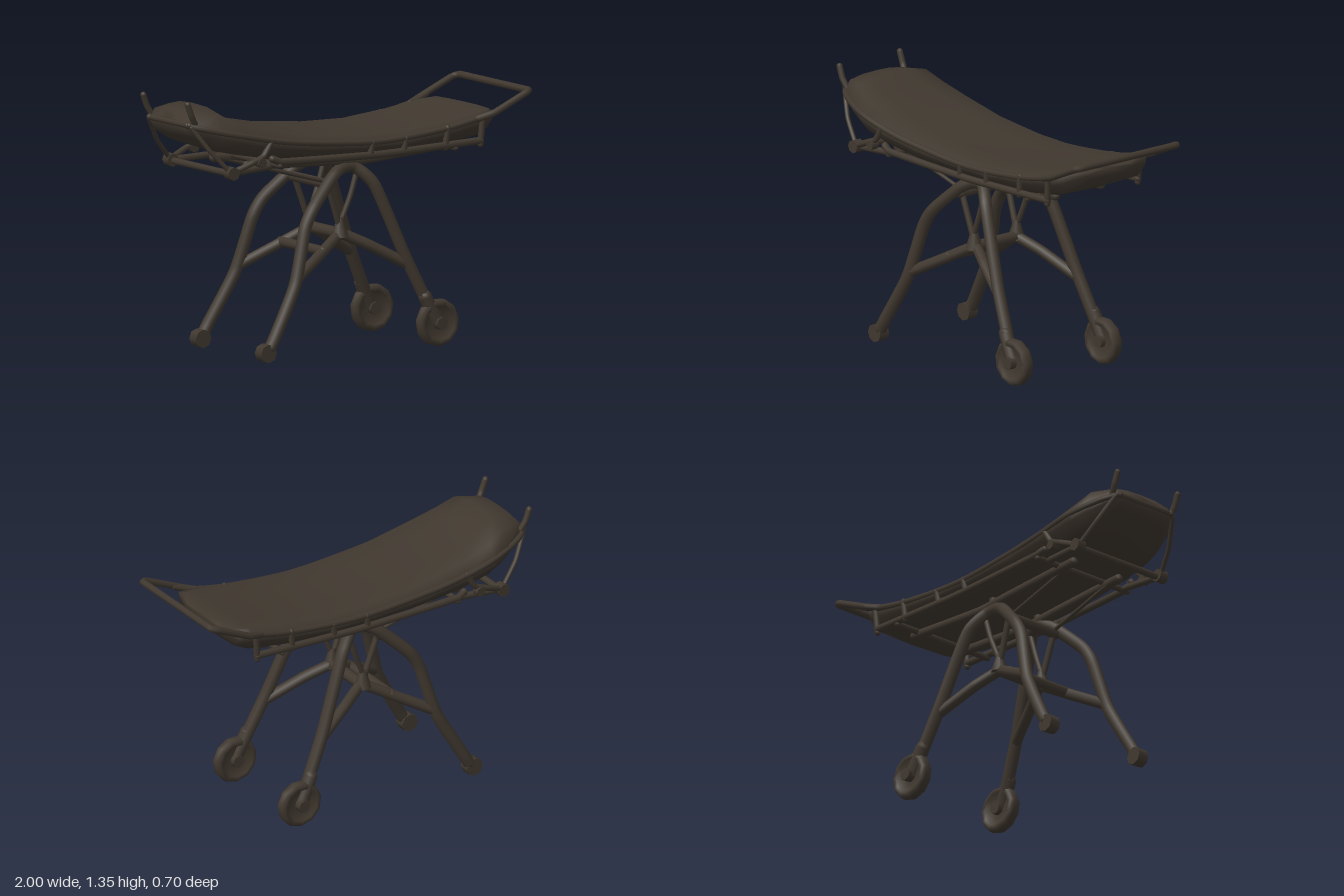
import * as THREE from 'three';

const frameBrown = new THREE.MeshStandardMaterial({ color: 0x40382f, side: THREE.DoubleSide });
const V = (p) => new THREE.Vector3(...p);

export function createModel() {
  const model = new THREE.Group();
  model.name = 'wheeledStretcher';

  const add = (name, geometry, pos = [0, 0, 0]) => {
    const mesh = new THREE.Mesh(geometry, frameBrown);
    mesh.name = name;
    mesh.position.set(...pos);
    model.add(mesh);
    return mesh;
  };

  // Straight or bent pipe with rounded ends
  const pipe = (name, points, r, tension = 0.25) => {
    const pts = points.map(V);
    const curve = pts.length === 2 ? new THREE.LineCurve3(...pts)
      : new THREE.CatmullRomCurve3(pts, false, 'catmullrom', tension);
    add(name, new THREE.TubeGeometry(curve, pts.length > 2 ? pts.length * 6 : 1, r, 8));
    for (const p of [pts[0], pts[pts.length - 1]]) add(name + 'End', new THREE.SphereGeometry(r, 8, 6), p.toArray());
  };
  // The same pipe on both sides of the stretcher
  const pair = (name, points, r, tension) => {
    for (const s of [1, -1]) pipe(name, points.map(([x, y, z]) => [x, y, z * s]), r, tension);
  };

  // Mattress: x, half width, top, edge height, bottom, height of the middle relative to the lip
  const sections = [
    [-0.97, 0.175, 1.24, 1.22, 1.19, 1],
    [-0.94, 0.205, 1.28, 1.22, 1.15, 1],
    [-0.82, 0.27, 1.3, 1.19, 1.085, 1],
    [-0.72, 0.3, 1.245, 1.165, 1.05, 0.9],
    [-0.55, 0.312, 1.2, 1.125, 1.02, 0.8],
    [-0.3, 0.315, 1.145, 1.09, 0.995, 0.7],
    [0, 0.315, 1.115, 1.07, 0.985, 0.65],
    [0.25, 0.315, 1.11, 1.07, 0.985, 0.6],
    [0.5, 0.312, 1.135, 1.10, 1.0, 0.6],
    [0.72, 0.305, 1.165, 1.14, 1.03, 0.8],
    [0.79, 0.28, 1.17, 1.155, 1.06, 1],
    [0.83, 0.15, 1.16, 1.15, 1.12, 1],
  ];
  const half = [[0.45, 0.95], [0.84, 0.72], [1, 0], [0.97, -0.4], [0.8, -0.92]];
  const ring = [[0, 1], ...half, [0, -1], ...half.map(([u, v]) => [-u, v]).reverse()];
  const n = ring.length, positions = [], index = [];
  for (const [x, w, top, edge, bottom, middle] of sections)
    for (const [u, v] of ring) {
      const lift = Math.abs(u) < 0.5 ? v * middle : v;
      positions.push(x, edge + (v > 0 ? lift * (top - edge) : v * (edge - bottom)), u * w);
    }
  for (let i = 0; i < sections.length - 1; i++)
    for (let j = 0; j < n; j++) {
      const a = i * n + j, b = i * n + (j + 1) % n;
      index.push(a, b, a + n, b, b + n, a + n);
    }
  const last = (sections.length - 1) * n;
  for (let j = 1; j < n - 1; j++) index.push(0, j + 1, j, last, last + j, last + j + 1);
  const bed = new THREE.BufferGeometry();
  bed.setAttribute('position', new THREE.Float32BufferAttribute(positions, 3));
  bed.setIndex(index);
  bed.computeVertexNormals();
  add('mattress', bed);

  // Upper side rails and push handle
  pair('upperRail', [[-0.97, 1.22, 0.17], [-0.9, 1.2, 0.23], [-0.72, 1.16, 0.29], [-0.5, 1.115, 0.302],
    [-0.25, 1.085, 0.303], [0.1, 1.065, 0.303], [0.45, 1.09, 0.303], [0.68, 1.13, 0.305], [0.79, 1.165, 0.325]], 0.016, 0.5);
  pipe('pushHandle', [[0.68, 1.13, 0.305], [0.76, 1.155, 0.33], [0.95, 1.24, 0.33], [0.982, 1.25, 0.31], [0.982, 1.25, 0],
    [0.982, 1.25, -0.31], [0.95, 1.24, -0.33], [0.76, 1.155, -0.33], [0.68, 1.13, -0.305]], 0.018, 0.1);
  pipe('headRail', [[-0.965, 1.22, 0.18], [-0.965, 1.22, -0.18]], 0.016);
  pair('headHorn', [[-0.93, 1.21, 0.19], [-0.965, 1.27, 0.2], [-0.988, 1.33, 0.2]], 0.016);

  // Lower side rails with uprights
  pair('lowerRail', [[-0.54, 1.03, 0.29], [-0.5, 1.012, 0.3], [0.1, 1.0, 0.3], [0.7, 1.018, 0.3]], 0.019);
  for (const [x, y] of [[0.04, 1.065], [0.24, 1.07], [0.49, 1.1], [0.7, 1.13]])
    pair('railUpright', [[x, 1.0, 0.3], [x + 0.01, y, 0.305]], 0.016);

  // Chassis under the bed
  pair('chassisBeam', [[-0.6, 0.985, 0.15], [-0.1, 0.965, 0.15], [0.1, 0.955, 0.15], [0.59, 0.99, 0.15]], 0.024);
  for (const x of [-0.5, 0.55]) pipe('chassisCrossBar', [[x, 0.995, 0.3], [x, 0.995, -0.3]], 0.016);

  // Fold-down bar beneath the head end
  pipe('headCrossBar', [[-0.77, 0.97, 0.27], [-0.77, 0.97, -0.27]], 0.018);
  pair('headStrut', [[-0.96, 1.21, 0.19], [-0.88, 1.09, 0.24], [-0.79, 0.99, 0.27]], 0.012);
  pair('headLink', [[-0.77, 0.975, 0.27], [-0.54, 0.985, 0.25]], 0.018);
  pair('headBrace', [[-0.55, 1.125, 0.3], [-0.6, 1.05, 0.3], [-0.67, 1.02, 0.3], [-0.77, 0.98, 0.28]], 0.016);
  for (const s of [1, -1]) {
    add('headPivot', new THREE.CylinderGeometry(0.034, 0.034, 0.05, 8).rotateX(Math.PI / 2), [-0.775, 0.975, s * 0.275]);
    add('bracePivot', new THREE.CylinderGeometry(0.025, 0.025, 0.04, 8).rotateX(Math.PI / 2), [-0.62, 1.02, s * 0.305]);
  }

  // Arched legs
  pair('archLeg', [[-0.56, 0.08, 0.3], [-0.53, 0.13, 0.298], [-0.39, 0.38, 0.27], [-0.31, 0.65, 0.237],
    [-0.25, 0.75, 0.225], [-0.1, 0.89, 0.175], [-0.03, 0.925, 0.15], [0.04, 0.925, 0.15], [0.13, 0.83, 0.205],
    [0.28, 0.46, 0.258], [0.435, 0.13, 0.298]], 0.032, 0.3);
  pair('archMount', [[0, 0.92, 0.15], [0, 0.99, 0.15]], 0.022);

  // Scissor braces and cross bars
  pair('legBrace', [[-0.37, 0.41, 0.265], [-0.2, 0.5, 0.2], [-0.03, 0.59, 0.135], [0.1, 0.53, 0.19], [0.28, 0.43, 0.255]], 0.028, 0.1);
  pair('innerStrut', [[0.07, 0.94, 0.15], [0.02, 0.78, 0.15], [-0.05, 0.61, 0.14]], 0.014);
  pair('rearStrut', [[-0.12, 0.86, 0.15], [-0.03, 0.6, 0.14]], 0.016);
  pair('tieRod', [[-0.54, 0.975, 0.14], [-0.12, 0.86, 0.14]], 0.01);
  pipe('upperCrossBar', [[-0.12, 0.85, 0.16], [-0.12, 0.85, -0.16]], 0.026);
  pipe('middleCrossBar', [[-0.03, 0.59, 0.14], [-0.03, 0.59, -0.14]], 0.03);
  pipe('lowerCrossBar', [[-0.17, 0.52, 0.19], [-0.17, 0.52, -0.19]], 0.026);
  for (const s of [1, -1])
    add('braceHub', new THREE.CylinderGeometry(0.016, 0.045, 0.1, 8), [-0.035, 0.625, s * 0.14]);

  // Large wheels with forks, and small feet
  const tyre = [[0.03, 0.012], [0.075, 0.012], [0.088, 0.03], [0.11, 0.03], [0.121, 0.014],
    [0.121, -0.014], [0.11, -0.03], [0.088, -0.03], [0.075, -0.012], [0.03, -0.012]]
    .map(([r, y]) => new THREE.Vector2(r, -y));
  pair('wheelFork', [[0.375, 0.255, 0.29], [0.44, 0.125, 0.3]], 0.036);
  for (const s of [1, -1]) {
    add('wheel', new THREE.LatheGeometry(tyre, 11).rotateX(Math.PI / 2), [0.445, 0.121, s * 0.295]);
    add('wheelHub', new THREE.CylinderGeometry(0.033, 0.033, 0.09, 8).rotateX(Math.PI / 2), [0.445, 0.121, s * 0.3]);
    add('footRoller', new THREE.CylinderGeometry(0.047, 0.047, 0.06, 8).rotateX(Math.PI / 2), [-0.583, 0.053, s * 0.295]);
  }
  return model;
}
